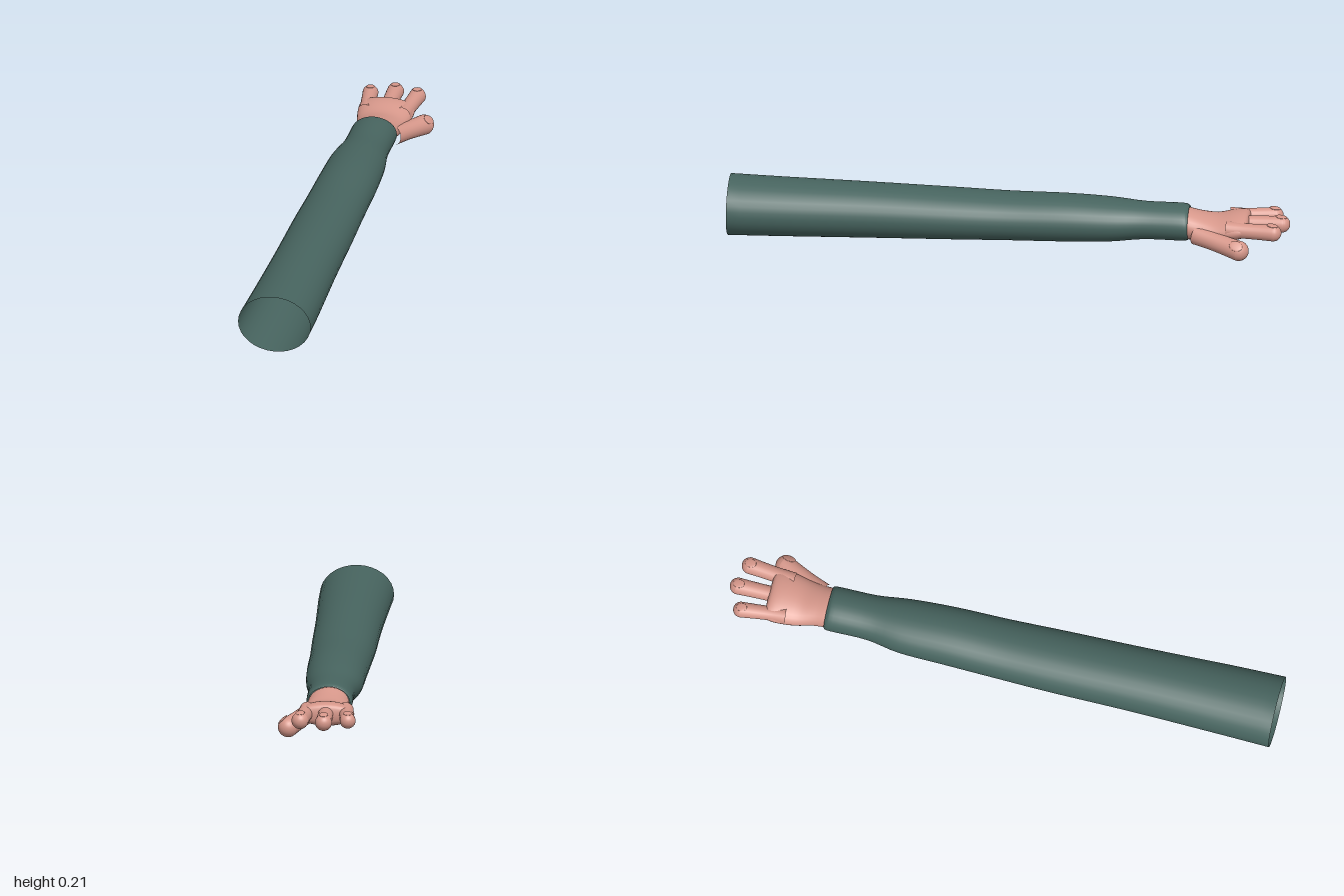
import * as THREE from 'three';

// Smooth skin through elliptical sections [z, cx, cy, rx, ry], listed from +z to -z
function loft(sections, steps = 4, sides = 32) {
  const times = sections.map((_, i) => i);
  const spline = new THREE.CubicInterpolant(times, sections.flat(), 5);
  const rows = (sections.length - 1) * steps;
  const pos = [], index = [];
  for (let i = 0; i <= rows; i++) {
    const [z, cx, cy, rx, ry] = spline.evaluate(i / steps);
    for (let j = 0; j < sides; j++) {
      const a = (j / sides) * Math.PI * 2;
      pos.push(cx + Math.max(rx, 0.0002) * Math.cos(a), cy + Math.max(ry, 0.0002) * Math.sin(a), z);
    }
  }
  for (let i = 0; i < rows; i++) {
    for (let j = 0; j < sides; j++) {
      const a = i * sides + j, b = i * sides + (j + 1) % sides;
      index.push(a, a + sides, b, b, a + sides, b + sides);
    }
  }
  const g = new THREE.BufferGeometry();
  g.setAttribute('position', new THREE.Float32BufferAttribute(pos, 3));
  g.setIndex(index);
  g.computeVertexNormals();
  return g;
}

// Finger along -z from the origin, narrow in the middle, with a round tip
function fingerGeometry(length, r, base) {
  const end = length - r;
  const s = [[0, 0, 0, base, base], [-end * 0.35, 0, 0, r * 0.92, r * 0.92], [-end * 0.7, 0, 0, r * 0.94, r * 0.94]];
  for (let k = 0; k <= 6; k++) {
    const a = (k / 6) * Math.PI / 2;
    s.push([-end - r * Math.sin(a), 0, 0, r * Math.cos(a), r * Math.cos(a)]);
  }
  return loft(s, 3, 24);
}

export function createModel() {
  const model = new THREE.Group();
  model.name = 'arm';
  const cloth = new THREE.MeshStandardMaterial({ name: 'green cloth', color: 0x47645f, side: THREE.DoubleSide });
  const skin = new THREE.MeshStandardMaterial({ name: 'skin', color: 0xd6978a });
  const add = (parent, name, geometry, material) => {
    const m = new THREE.Mesh(geometry, material);
    m.name = name;
    parent.add(m);
    return m;
  };

  // Open sleeve: [z, left x, right x, bottom y, top y]
  const outline = [
    [1, -0.155, 0.108, 0, 0.212], [0.8, -0.149, 0.105, 0.004, 0.208],
    [0.5, -0.142, 0.096, 0.01, 0.203], [0.2, -0.14, 0.091, 0.016, 0.195],
    [0, -0.135, 0.086, 0.021, 0.19], [-0.2, -0.13, 0.084, 0.025, 0.191],
    [-0.36, -0.125, 0.076, 0.031, 0.184], [-0.48, -0.106, 0.061, 0.044, 0.175],
    [-0.61, -0.105, 0.06, 0.044, 0.174], [-0.635, -0.102, 0.058, 0.047, 0.168],
    [-0.64, -0.096, 0.054, 0.051, 0.164],
  ];
  add(model, 'sleeve', loft(outline.map(([z, l, r, b, t]) =>
    [z, (l + r) / 2, (b + t) / 2, (r - l) / 2, (t - b) / 2])), cloth);

  // Palm
  const hand = new THREE.Group();
  hand.name = 'hand';
  model.add(hand);
  add(hand, 'palm', loft([
    [-0.615, -0.021, 0.106, 0, 0], [-0.617, -0.021, 0.106, 0.06, 0.042],
    [-0.63, -0.021, 0.106, 0.072, 0.054], [-0.68, -0.02, 0.1, 0.077, 0.049],
    [-0.74, -0.021, 0.096, 0.09, 0.044], [-0.8, -0.021, 0.106, 0.1, 0.045],
    [-0.835, -0.021, 0.112, 0.1, 0.04], [-0.852, -0.021, 0.114, 0.09, 0.028],
    [-0.858, -0.021, 0.115, 0, 0],
  ]), skin);

  // Wrist ball inside the cuff
  add(hand, 'wristBall', new THREE.SphereGeometry(0.05, 32, 20), skin).position.set(-0.022, 0.108, -0.61);

  // Fingers and thumb: name, base position, tip position, tip radius, base radius, nail roll
  const digits = [
    ['outerFinger', [-0.088, 0.113, -0.78], [-0.109, 0.115, -0.967], 0.028, 0.03, 0],
    ['middleFinger', [-0.022, 0.113, -0.78], [-0.022, 0.115, -1], 0.03, 0.03, 0],
    ['indexFinger', [0.045, 0.113, -0.78], [0.066, 0.115, -0.977], 0.03, 0.03, 0],
    ['thumb', [0.035, 0.085, -0.67], [0.128, 0.057, -0.862], 0.036, 0.036, -0.7],
  ];
  for (const [name, base, tip, r, baseR, roll] of digits) {
    const from = new THREE.Vector3(...base), to = new THREE.Vector3(...tip);
    const length = from.distanceTo(to);
    const digit = new THREE.Group();
    digit.name = name;
    digit.position.copy(from);
    // Local -z points toward the tip
    digit.lookAt(from.clone().multiplyScalar(2).sub(to));
    digit.rotateZ(roll);
    hand.add(digit);
    add(digit, name + 'Flesh', fingerGeometry(length, r, baseR), skin);
    const nail = add(digit, name + 'Nail', new THREE.SphereGeometry(1, 16, 10), skin);
    nail.scale.set(r * 0.55, 0.004, r * 0.7);
    nail.position.set(0, r * 0.92, -length + r * 1.05);
    nail.rotation.x = -0.15;
  }
  return model;
}
